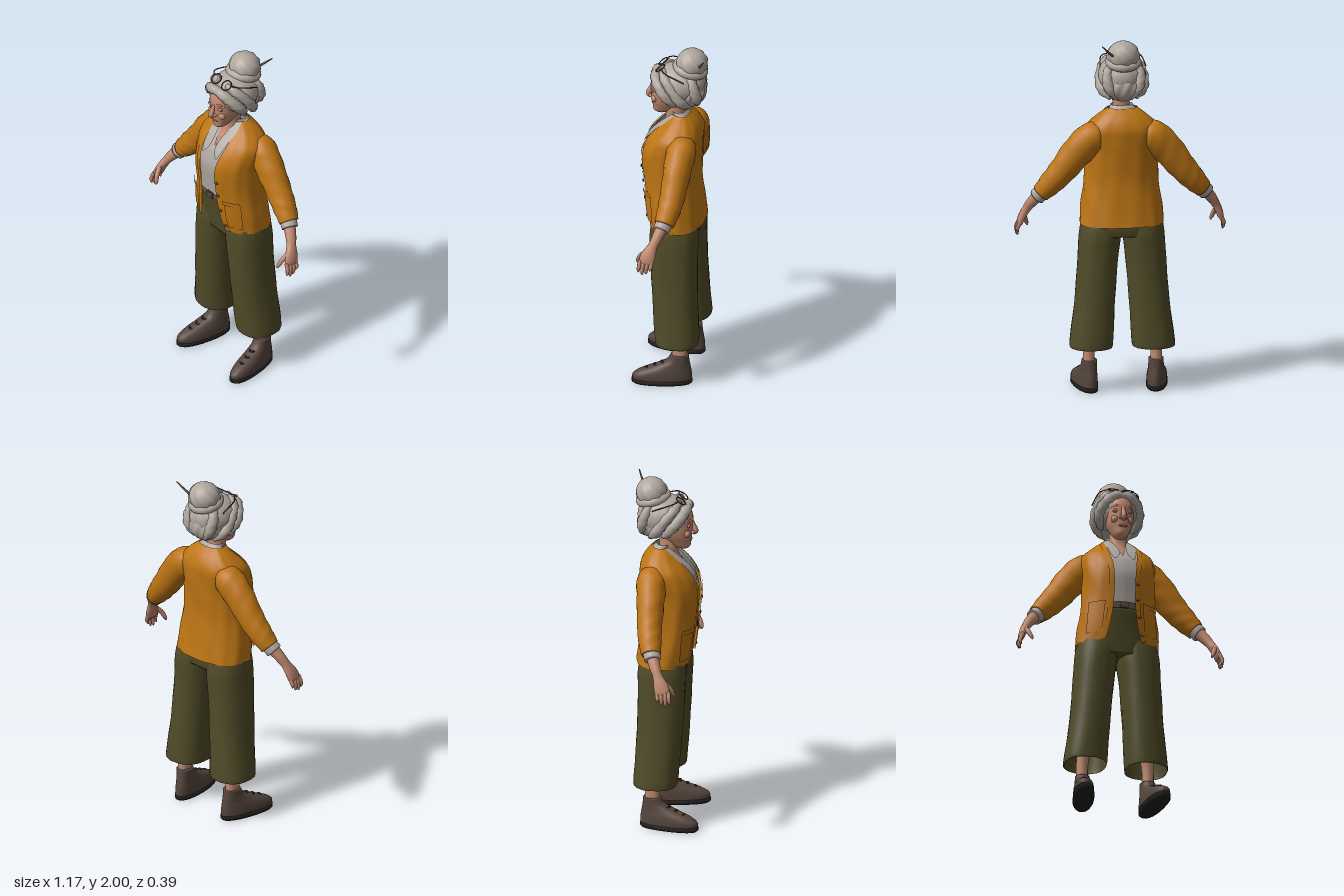
import * as THREE from 'three';

const mat = (name, color, double) => {
  const m = new THREE.MeshStandardMaterial({ color });
  m.name = name;
  if (double) m.side = THREE.DoubleSide;
  return m;
};

// Catmull-Rom through rows of numbers
function smooth(rows, n = 4) {
  const out = [], last = rows.length - 1;
  for (let i = 0; i < last; i++) {
    const [a, b, c, d] = [rows[Math.max(i - 1, 0)], rows[i], rows[i + 1], rows[Math.min(i + 2, last)]];
    for (let k = 0; k < n; k++) {
      const t = k / n;
      out.push(b.map((v, j) => v + 0.5 * t * (c[j] - a[j]
        + t * (2 * a[j] - 5 * v + 4 * c[j] - d[j] + t * (3 * (v - c[j]) + d[j] - a[j])))));
    }
  }
  out.push(rows[last]);
  return out;
}

// Surface over rings of points, optionally closed round and capped
function surface(rings, closed, caps = false) {
  const pos = [], idx = [], n = rings[0].length;
  rings.forEach(r => r.forEach(p => pos.push(...p)));
  for (let i = 0; i < rings.length - 1; i++) {
    for (let j = 0; j < (closed ? n : n - 1); j++) {
      const k = (j + 1) % n, a = i * n + j, b = i * n + k;
      idx.push(a, b, b + n, a, b + n, a + n);
    }
  }
  if (caps) {
    [0, rings.length - 1].forEach(i => {
      const c = pos.length / 3;
      pos.push(...[0, 1, 2].map(k => rings[i].reduce((s, p) => s + p[k], 0) / n));
      for (let j = 0; j < n; j++) {
        const a = i * n + j, b = i * n + (j + 1) % n;
        idx.push(...(i ? [c, a, b] : [c, b, a]));
      }
    });
  }
  const g = new THREE.BufferGeometry();
  g.setAttribute('position', new THREE.Float32BufferAttribute(pos, 3));
  g.setIndex(idx);
  g.computeVertexNormals();
  return g;
}

const P = 2.3; // roundness of the cross-sections
const pw = v => Math.sign(v) * Math.abs(v) ** (2 / P);

// Stacked level sections; row = [y, halfWidth, zFront, zBack, xCentre, frontGap]
function loft(rows, { n = 4, seg = 32, open = false, caps = false, fold = 0 } = {}) {
  return surface(smooth(rows, n).map(([y, rx, zf, zb, cx = 0, gap = 0]) => {
    const g = open ? Math.asin(Math.min(1, Math.max(0, gap / rx)) ** (P / 2)) : 0;
    return Array.from({ length: open ? seg + 1 : seg }, (_, j) => {
      const t = g + (2 * Math.PI - 2 * g) * j / seg;
      const f = 1 + fold * Math.sin(9 * t + 11 * y) * Math.sin(3 * t - 17 * y);
      return [cx + rx * f * pw(Math.sin(t)), y, (zf + zb) / 2 + (zf - zb) / 2 * f * pw(Math.cos(t))];
    });
  }), !open, caps);
}

// Tapered limb; row = [x, y, z, radiusAcross, radiusAlongRef]
function limb(rows, { ref = [0, 0, 1], seg = 12, n = 4, fold = 0 } = {}) {
  const s = smooth(rows, n), v3 = r => new THREE.Vector3(r[0], r[1], r[2]);
  return surface(s.map((r, i) => {
    const T = v3(s[Math.min(i + 1, s.length - 1)]).sub(v3(s[Math.max(i - 1, 0)])).normalize();
    const V = new THREE.Vector3(...ref);
    V.addScaledVector(T, -V.dot(T)).normalize();
    const U = T.clone().cross(V);
    return Array.from({ length: seg }, (_, j) => {
      const t = 2 * Math.PI * j / seg, f = 1 + fold * Math.sin(3 * t + i * 1.3);
      return v3(r).addScaledVector(U, r[3] * f * Math.sin(t)).addScaledVector(V, (r[4] ?? r[3]) * f * Math.cos(t)).toArray();
    });
  }), true, true);
}

// Wavy ellipsoid for hair masses
function blob(c, r, wave = 0, lobes = 9, twist = 3) {
  return surface(Array.from({ length: 21 }, (_, i) => {
    const a = Math.PI * (0.01 + 0.98 * i / 20);
    return Array.from({ length: 48 }, (_, j) => {
      const t = 2 * Math.PI * j / 48, f = 1 + wave * Math.sin(lobes * t + twist * a) * Math.sin(a);
      return [c[0] + r[0] * f * Math.sin(a) * Math.sin(t), c[1] - r[1] * Math.cos(a), c[2] + r[2] * f * Math.sin(a) * Math.cos(t)];
    });
  }), true, true);
}

function mirrored(g) {
  const m = g.clone().scale(-1, 1, 1), a = m.index.array;
  for (let i = 0; i < a.length; i += 3) [a[i], a[i + 1]] = [a[i + 1], a[i]];
  return m;
}

const JACKET = [
  [0.95, 0.235, 0.13, -0.18, 0, 0.105], [1.05, 0.225, 0.145, -0.165, 0, 0.08],
  [1.2, 0.205, 0.16, -0.15, 0, 0.063], [1.35, 0.2, 0.175, -0.155, 0, 0.065],
  [1.43, 0.205, 0.155, -0.16, 0, 0.075], [1.5, 0.2, 0.11, -0.16, 0, 0.085],
  [1.56, 0.145, 0.05, -0.135, 0, 0.08], [1.61, 0.08, 0, -0.09, 0, 0.06]];
const FINE = smooth(JACKET, 8);

// Jacket section at a height, moved outwards by off
function sectionAt(y, off) {
  const i = Math.max(1, FINE.findIndex(r => r[0] >= y - 1e-6)), a = FINE[i - 1], b = FINE[i];
  const r = a.map((v, k) => v + (b[k] - v) * (y - a[0]) / (b[0] - a[0]));
  return [y, r[1] + off, r[2] + off, r[3] - off, 0, r[5]];
}
const frontZ = (x, y, off) => {
  const [, rx, zf, zb] = sectionAt(y, off);
  return (zf + zb) / 2 + (zf - zb) / 2 * Math.max(0, 1 - Math.min(1, Math.abs(x) / rx) ** P) ** (1 / P);
};
// Panel lying on the chest; row = [y, xInner, xOuter]
const panel = (rows, off) => surface(smooth(rows, 5).map(([y, a, b]) =>
  Array.from({ length: 9 }, (_, j) => {
    const x = a + (b - a) * j / 8;
    return [x, y, frontZ(x, y, off)];
  })), false);

export function createModel() {
  const M = {
    jacket: mat('mustard wool', 0xbd7514, true), trousers: mat('olive cloth', 0x504b28, true),
    shirt: mat('pale grey cotton', 0xaea7a2, true), hair: mat('silver hair', 0xb0a79e),
    skin: mat('skin', 0xc08a70), flush: mat('flushed skin', 0xa66a55),
    shoe: mat('brown leather', 0x55453d), sole: mat('black rubber', 0x211e1d), belt: mat('belt leather', 0x64544b),
  };
  const model = new THREE.Group();
  const add = (name, g, m) => {
    const mesh = new THREE.Mesh(g, m);
    mesh.name = name;
    model.add(mesh);
  };
  const pair = (name, g, m) => {
    add(name + 'Left', g, m);
    add(name + 'Right', mirrored(g), m);
  };
  const ball = (c, r) => blob(c, r);

  // Trousers and belt
  add('trouserSeat', loft([[0.89, 0.225, 0.1, -0.15], [0.94, 0.228, 0.108, -0.157], [1.03, 0.212, 0.12, -0.15], [1.15, 0.185, 0.142, -0.135]], { caps: true }), M.trousers);
  pair('trouserLeg', loft([[0.25, 0.115, 0.065, -0.168, 0.172], [0.28, 0.12, 0.072, -0.173, 0.172], [0.5, 0.112, 0.09, -0.162, 0.152],
    [0.75, 0.112, 0.105, -0.156, 0.133], [0.9, 0.116, 0.11, -0.158, 0.119], [1, 0.108, 0.1, -0.14, 0.108]], { fold: 0.015 }), M.trousers);
  add('belt', loft([[1.135, 0.19, 0.15, -0.135], [1.175, 0.188, 0.154, -0.135]], { n: 1 }), M.belt);
  add('buckle', new THREE.BoxGeometry(0.045, 0.035, 0.012).translate(0, 1.155, 0.153), M.shoe);

  // Shirt with an open neck and turned-down collar
  const shirtRows = [1.14, 1.25, 1.35, 1.43, 1.47, 1.52, 1.56, 1.61].map(y => {
    const r = sectionAt(y, -0.012);
    r[5] = Math.max(0, (y - 1.47) * 0.38);
    return r;
  });
  add('shirt', loft(shirtRows, { open: true }), M.shirt);
  pair('collar', panel([[1.43, 0.05, 0.058], [1.47, 0.022, 0.072], [1.52, 0.022, 0.08], [1.57, 0.034, 0.085], [1.61, 0.042, 0.075]], 0.008), M.shirt);
  add('collarStand', loft([[1.57, 0.085, -0.005, -0.11, 0, 0.05], [1.625, 0.062, 0.01, -0.07, 0, 0.045]], { open: true }), M.shirt);

  // Cardigan
  add('cardiganBody', loft(JACKET, { open: true, seg: 56, n: 6, fold: 0.02 }), M.jacket);
  pair('frontBand', panel(FINE.filter((r, i) => i % 7 === 0).map(r => [r[0], r[5] - 0.004, r[5] + 0.026]), 0.006), M.jacket);
  pair('pocket', panel([[0.99, 0.125, 0.2], [1.06, 0.115, 0.197], [1.15, 0.11, 0.19]], 0.008), M.jacket);
  pair('pocketWelt', panel([[1.145, 0.107, 0.193], [1.17, 0.105, 0.19]], 0.014), M.jacket);
  [0.99, 1.09, 1.19, 1.28].forEach(y => {
    const x = sectionAt(y, 0)[5] + 0.012;
    add('button', ball([x, y, frontZ(x, y, 0.008)], [0.009, 0.009, 0.005]), M.shoe);
  });
  pair('sleeve', limb([[0.12, 1.475, -0.075, 0.05, 0.06], [0.165, 1.455, -0.075, 0.086, 0.082], [0.245, 1.375, -0.068, 0.088, 0.078],
    [0.335, 1.26, -0.06, 0.076, 0.07], [0.4, 1.185, -0.048, 0.066, 0.064], [0.45, 1.13, -0.034, 0.052, 0.055]], { seg: 22, n: 6, fold: 0.025 }), M.jacket);
  pair('shirtCuff', limb([[0.44, 1.14, -0.035, 0.046, 0.048], [0.472, 1.105, -0.022, 0.046, 0.046]], { seg: 18 }), M.shirt);

  // Forearms and hands
  pair('forearm', limb([[0.455, 1.125, -0.028, 0.036, 0.036], [0.5, 1.07, -0.004, 0.03, 0.03], [0.525, 1.03, 0.014, 0.024, 0.028],
    [0.547, 0.985, 0.033, 0.021, 0.04], [0.56, 0.945, 0.045, 0.016, 0.042], [0.564, 0.93, 0.048, 0.006, 0.03]]), M.skin);
  [0.014, 0.036, 0.058, 0.079].forEach((z, i) => {
    const tip = [0.895, 0.876, 0.87, 0.884][i];
    pair('finger', limb([[0.558, 0.955, z, 0.011], [0.573, 0.92, z + 0.004, 0.011], [0.574, tip + 0.015, z + 0.007, 0.009], [0.569, tip, z + 0.008, 0.003]], { seg: 8 }), M.skin);
  });
  pair('thumb', limb([[0.54, 1, 0.05, 0.013], [0.528, 0.965, 0.083, 0.014], [0.515, 0.93, 0.1, 0.011], [0.51, 0.913, 0.104, 0.004]], { seg: 8 }), M.skin);

  // Ankles and shoes
  const foot = g => g.rotateY(0.17).translate(0.185, 0, -0.07);
  pair('ankle', loft([[0.15, 0.033, -0.025, -0.112, 0.187], [0.25, 0.032, -0.022, -0.108, 0.187], [0.42, 0.045, 0, -0.11, 0.175]], { seg: 16 }), M.skin);
  pair('sole', foot(loft([[0, 0.053, 0.258, -0.06], [0.008, 0.059, 0.268, -0.068], [0.028, 0.058, 0.268, -0.068]], { n: 1, caps: true })), M.sole);
  pair('shoe', foot(loft([[0.024, 0.056, 0.262, -0.066], [0.052, 0.056, 0.263, -0.066], [0.08, 0.053, 0.222, -0.063],
    [0.108, 0.047, 0.15, -0.058], [0.14, 0.043, 0.078, -0.052], [0.18, 0.041, 0.05, -0.048]], { caps: true })), M.shoe);
  [[0.092, 0.188], [0.11, 0.145], [0.128, 0.105]].forEach(([y, z]) => pair('lace', foot(limb(
    [[-0.034, y - 0.008, z - 0.04, 0.005], [0, y + 0.003, z, 0.006], [0.034, y - 0.008, z - 0.04, 0.005]], { ref: [0, 1, 0], seg: 6 })), M.sole));

  // Neck and head
  add('neck', loft([[1.43, 0.06, 0.115, -0.05], [1.5, 0.062, 0.088, -0.06], [1.56, 0.056, 0.052, -0.06], [1.62, 0.047, 0.045, -0.055], [1.71, 0.047, 0.05, -0.055]]), M.skin);
  add('head', loft([[1.597, 0.02, 0.1, 0.05], [1.612, 0.036, 0.117, 0.02], [1.645, 0.052, 0.121, -0.02], [1.68, 0.067, 0.126, -0.05],
    [1.73, 0.077, 0.129, -0.08], [1.79, 0.078, 0.13, -0.1], [1.85, 0.07, 0.1, -0.1], [1.88, 0.04, 0.05, -0.06]], { caps: true }), M.skin);
  add('nose', limb([[0, 1.775, 0.122, 0.008], [0, 1.74, 0.132, 0.011], [0, 1.705, 0.145, 0.016], [0, 1.688, 0.138, 0.012], [0, 1.682, 0.13, 0.004]], { ref: [1, 0, 0] }), M.skin);
  pair('nostril', ball([0.014, 1.696, 0.131], [0.01, 0.009, 0.012]), M.skin);
  pair('cheek', ball([0.04, 1.695, 0.103], [0.024, 0.022, 0.02]), M.skin);
  pair('eyeSocket', ball([0.036, 1.742, 0.115], [0.021, 0.014, 0.01]), M.flush);
  pair('brow', limb([[0.014, 1.765, 0.126, 0.005], [0.038, 1.773, 0.118, 0.007], [0.06, 1.762, 0.094, 0.004]], { ref: [0, 1, 0], seg: 8 }), M.skin);
  add('mouth', ball([0, 1.652, 0.119], [0.025, 0.006, 0.007]), M.flush);

  // Hair gathered up into a bun
  add('hairCrown', blob([0, 1.79, -0.03], [0.13, 0.115, 0.145], 0.035, 11, 5), M.hair);
  add('hairNape', blob([0, 1.745, -0.09], [0.108, 0.09, 0.088], 0.04, 12, -4), M.hair);
  add('bun', blob([0, 1.917, -0.1], [0.09, 0.083, 0.087], 0.05, 8, 6), M.hair);
  add('bunWrap', new THREE.TorusGeometry(0.075, 0.026, 10, 36).rotateX(Math.PI / 2 - 0.25).translate(0, 1.882, -0.09), M.hair);
  const lockOpts = { ref: [0, 1, 0], seg: 10, n: 6, fold: 0.12 };
  pair('frontRoll', limb([[-0.015, 1.84, 0.1, 0.022], [0.04, 1.838, 0.1, 0.029], [0.085, 1.805, 0.075, 0.031], [0.11, 1.755, 0.035, 0.031], [0.1, 1.705, -0.005, 0.022], [0.085, 1.68, -0.03, 0.006]], lockOpts), M.hair);
  pair('sideRoll', limb([[0.03, 1.875, 0.06, 0.016], [0.085, 1.85, 0.04, 0.027], [0.118, 1.79, -0.01, 0.028], [0.112, 1.72, -0.06, 0.03], [0.07, 1.675, -0.1, 0.012]], lockOpts), M.hair);
  pair('backRoll', limb([[0.05, 1.88, -0.09, 0.02], [0.09, 1.82, -0.12, 0.028], [0.08, 1.74, -0.14, 0.03], [0.035, 1.68, -0.135, 0.012]], lockOpts), M.hair);
  add('hairStick', limb([[-0.05, 1.83, -0.08, 0.004], [0.06, 1.925, -0.15, 0.007], [0.128, 1.995, -0.19, 0.003]], { seg: 8 }), M.belt);

  // Spectacles pushed up on the hair
  pair('lensRim', new THREE.TorusGeometry(0.03, 0.0035, 6, 20).rotateX(-0.95).translate(0.042, 1.888, 0.07), M.shoe);
  pair('spectacleArm', limb([[0.07, 1.892, 0.06, 0.0035], [0.112, 1.885, 0.02, 0.0035], [0.128, 1.85, -0.08, 0.0035]], { ref: [0, 1, 0], seg: 6 }), M.shoe);
  return model;
}
